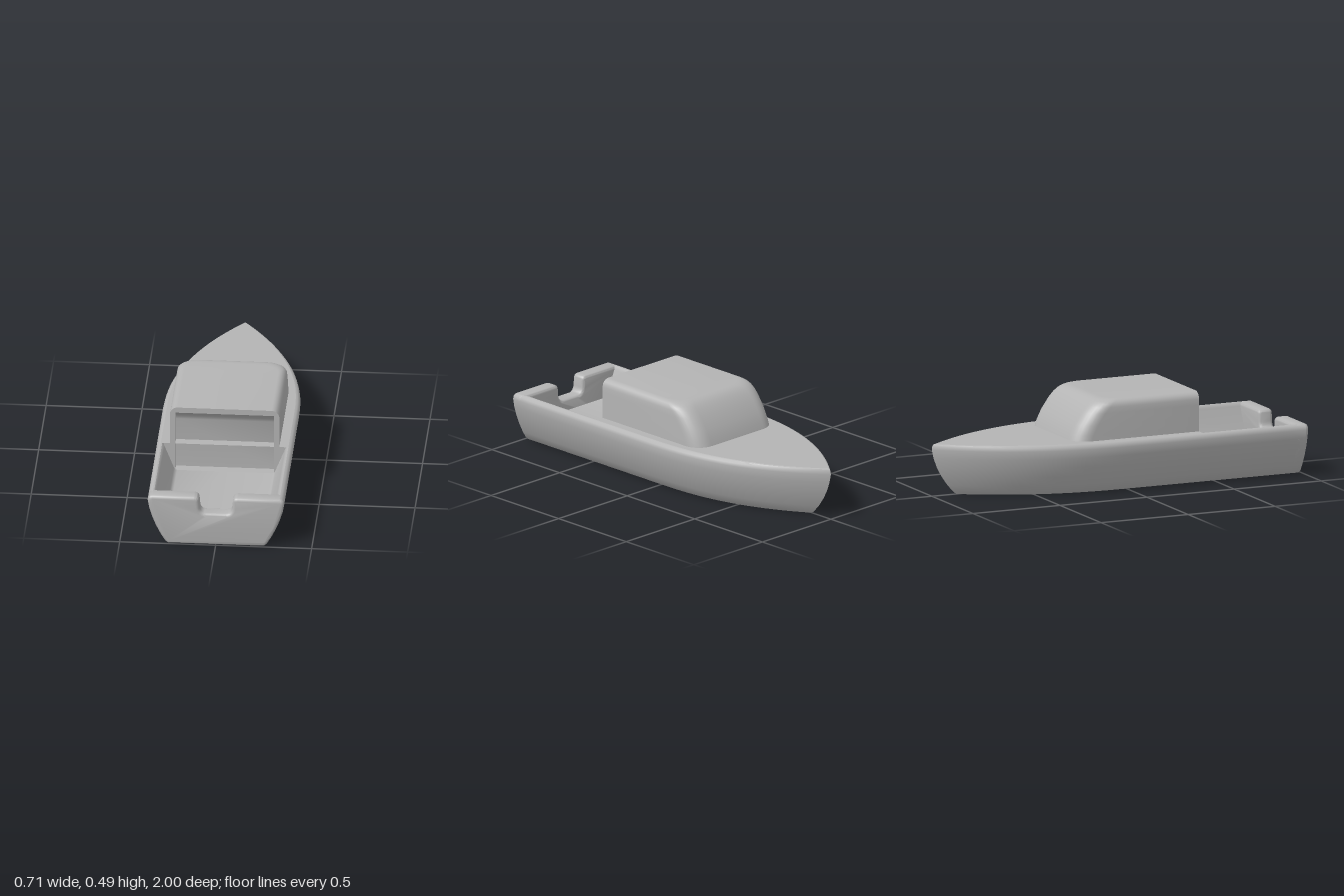
import * as THREE from 'three';
import { toCreasedNormals } from 'three/addons/utils/BufferGeometryUtils.js';

const DECK = 0.275, FLOOR = 0.12, STERN = 0.982, BULKHEAD = 0.4;

// Hull levels: height, half width, z of the stem
const LEVELS = [
  [0, 0.25, -0.86], [0.012, 0.265, -0.875], [0.05, 0.288, -0.91], [0.1, 0.313, -0.945],
  [0.15, 0.333, -0.972], [0.2, 0.348, -0.99], [0.245, 0.356, -1], [0.262, 0.352, -0.998],
  [0.272, 0.342, -0.993], [DECK, 0.332, -0.985],
];

// Surface through rows of [x, y, z] points
function loft(rows, crease = 0.6) {
  const n = rows[0].length, index = [];
  for (let i = 0; i < rows.length - 1; i++) {
    for (let j = 0; j < n - 1; j++) {
      const a = i * n + j, b = a + n;
      index.push(a, a + 1, b, b, a + 1, b + 1);
    }
  }
  const g = new THREE.BufferGeometry();
  g.setAttribute('position', new THREE.Float32BufferAttribute(rows.flat(2), 3));
  g.setIndex(index);
  return toCreasedNormals(g, crease);
}

// Plan outline of one hull level: starboard stern, round the stem, port stern
function hullRow([y, w, stem], stern) {
  const side = [];
  for (let i = 0; i <= 8; i++) side.push([w, y, stern * (1 - i / 8)]);
  for (let i = 1; i <= 28; i++) {
    const u = Math.sin((i / 28) * Math.PI / 2);
    side.push([w * (1 - u ** 2.35), y, stem * u]);
  }
  return mirrorRow(side);
}

const mirrorRow = side => [...side, ...side.slice(0, -1).reverse().map(([x, y, z]) => [-x, y, z])];
const toCentre = row => row.map(([, y, z]) => [0, y, z]);

// Cabin level: straight sides and rounded forward corners
function cabinRow(y, foreZ) {
  const k = Math.max(0, (y - 0.445) / 0.04);
  const w = 0.285 - 0.04 * (1 - Math.sqrt(Math.max(0, 1 - k * k)));
  const r = 0.095, side = [[w, y, BULKHEAD]];
  for (let i = 0; i <= 8; i++) {
    const a = (i / 8) * Math.PI / 2;
    side.push([w - r + r * Math.cos(a), y, foreZ + r - r * Math.sin(a)]);
  }
  side.push([0, y, foreZ]);
  return mirrorRow(side);
}

// Transom outline with the rounded notch
function transomShape() {
  const s = new THREE.Shape();
  s.moveTo(-LEVELS[0][1], 0);
  LEVELS.forEach(([y, w]) => s.lineTo(w, y));
  s.lineTo(0.115, DECK);
  s.quadraticCurveTo(0.09, DECK, 0.088, 0.25);
  s.lineTo(0.085, 0.215);
  s.quadraticCurveTo(0.082, 0.18, 0.05, 0.18);
  s.lineTo(-0.05, 0.18);
  s.quadraticCurveTo(-0.082, 0.18, -0.085, 0.215);
  s.lineTo(-0.088, 0.25);
  s.quadraticCurveTo(-0.09, DECK, -0.115, DECK);
  [...LEVELS].reverse().slice(0, -1).forEach(([y, w]) => s.lineTo(-w, y));
  s.closePath();
  return s;
}

// Frame round the cabin opening, reaching down to the cockpit floor
function frameShape() {
  const s = new THREE.Shape();
  s.moveTo(0.257, FLOOR);
  s.lineTo(0.257, 0.455);
  s.lineTo(-0.257, 0.455);
  s.lineTo(-0.257, FLOOR);
  s.lineTo(-0.258, FLOOR);
  s.lineTo(-0.32, DECK);
  s.lineTo(-0.285, DECK);
  s.lineTo(-0.285, 0.445);
  s.absarc(-0.245, 0.445, 0.04, Math.PI, Math.PI / 2, true);
  s.lineTo(0.245, 0.485);
  s.absarc(0.245, 0.445, 0.04, Math.PI / 2, 0, true);
  s.lineTo(0.285, DECK);
  s.lineTo(0.32, DECK);
  s.lineTo(0.258, FLOOR);
  s.closePath();
  return s;
}

export function createModel() {
  const boat = new THREE.Group();
  boat.name = 'boat';
  const grey = new THREE.MeshStandardMaterial({ color: 0xb4b4b4, side: THREE.DoubleSide });
  grey.name = 'grey';
  const add = (name, geometry) => {
    const mesh = new THREE.Mesh(geometry, grey);
    mesh.name = name;
    boat.add(mesh);
    return mesh;
  };

  // Hull skin with flat bottom
  const hull = LEVELS.map(level => hullRow(level, STERN));
  add('hull', loft([toCentre(hull[0]), ...hull]));

  // Foredeck and side decks
  const deck = hullRow(LEVELS[LEVELS.length - 1], BULKHEAD);
  add('deck', loft([deck, toCentre(deck)]));

  // Cockpit: gunwales, sloping inner walls and floor
  const section = mirrorRow([
    [0.332, DECK], [0.325, 0.274], [0.318, 0.267], [0.313, 0.255],
    [0.265, 0.135], [0.258, 0.125], [0.247, FLOOR], [0, FLOOR],
  ]);
  add('cockpit', loft([0.95, BULKHEAD].map(z => section.map(([x, y]) => [x, y, z]))));

  // Transom with softened edges
  const bevel = 0.018;
  const transom = new THREE.ExtrudeGeometry(transomShape(), {
    depth: 0.08 - 2 * bevel, bevelSize: bevel, bevelThickness: bevel,
    bevelOffset: -bevel, bevelSegments: 4, curveSegments: 6,
  });
  add('transom', toCreasedNormals(transom, 0.6)).position.z = 0.92 + bevel;

  // Cabin shell: sides, sloping forward face and roof
  const cabin = [
    [DECK, -0.31], [0.305, -0.299], [0.355, -0.274], [0.415, -0.232], [0.445, -0.204],
    [0.46, -0.187], [0.472, -0.17], [0.48, -0.152], [0.484, -0.134], [0.485, -0.115],
  ].map(([y, z]) => cabinRow(y, z));
  add('cabin', loft([...cabin, toCentre(cabin[cabin.length - 1])]));

  // Cabin opening and the shallow recess behind it
  add('cabinFrame', new THREE.ShapeGeometry(frameShape(), 8)).position.z = BULKHEAD;
  const profile = [
    [0.455, BULKHEAD], [0.447, 0.388], [0.432, 0.372], [0.415, 0.358],
    [0.395, 0.35], [FLOOR, 0.35], [FLOOR, BULKHEAD],
  ];
  const recessRow = x => profile.map(([y, z]) => [x, y, z]);
  const fan = x => profile.map(() => [x, 0.3, BULKHEAD]);
  add('cabinRecess', loft([fan(0.257), recessRow(0.257), recessRow(-0.257), fan(-0.257)]));

  return boat;
}
